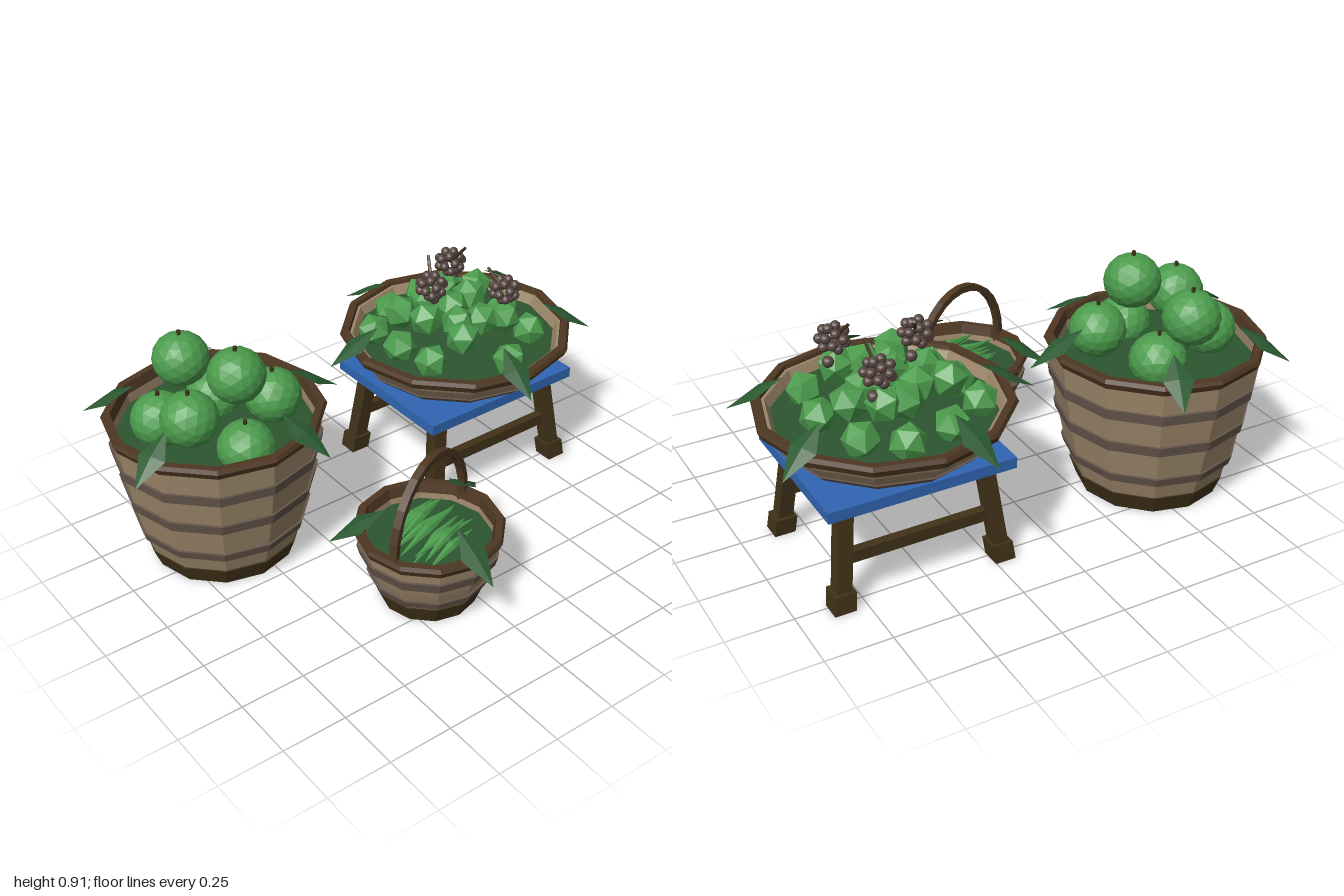
import * as THREE from 'three';

const mat = (name, color, side = THREE.FrontSide) =>
  new THREE.MeshStandardMaterial({ name, color, side, flatShading: true });

export function createModel() {
  const M = {
    wicker: mat('pale wicker', 0x9c8669),
    band: mat('grey brown band', 0x65564b),
    rim: mat('rim brown', 0x4e3722),
    wood: mat('dark wood', 0x413219),
    blue: mat('blue paint', 0x3166b2),
    fruit: mat('fresh green', 0x4c9c4d),
    leaf: mat('leaf green', 0x2b5a31, THREE.DoubleSide),
    fill: mat('deep green', 0x2c552f),
    berry: mat('berry brown', 0x55443f),
  };
  const root = new THREE.Group();
  let seed = 7;
  const rnd = () => (seed = (seed * 16807) % 2147483647) / 2147483647;

  function add(parent, name, geo, material, x = 0, y = 0, z = 0) {
    const m = new THREE.Mesh(geo, material);
    m.name = name;
    m.position.set(x, y, z);
    parent.add(m);
    return m;
  }
  function group(name, x, z) {
    const g = new THREE.Group();
    g.name = name;
    g.position.set(x, 0, z);
    root.add(g);
    return g;
  }
  const lathe = (pts) => new THREE.LatheGeometry(pts.map((p) => new THREE.Vector2(...p)), 12);

  // Thin rod between two points
  function rod(parent, name, a, b, r0, r1, material, sides = 5) {
    const A = new THREE.Vector3(...a), B = new THREE.Vector3(...b), d = B.clone().sub(A);
    const m = add(parent, name, new THREE.CylinderGeometry(r1, r0, d.length(), sides), material);
    m.position.copy(A).add(B).multiplyScalar(0.5);
    m.quaternion.setFromUnitVectors(new THREE.Vector3(0, 1, 0), d.normalize());
    return m;
  }

  // Folded kite leaf draped over a rim
  function leaf(parent, R, top, deg) {
    const g = new THREE.BufferGeometry();
    const inner = [R - 0.12, top + 0.07, 0], tip = [R + 0.085, top - 0.055, 0];
    const mid = [R - 0.02, top + 0.022, 0];
    const l = [R - 0.025, top + 0.012, -0.056], r = [R - 0.025, top + 0.012, 0.056];
    const faces = [inner, mid, l, mid, tip, l, inner, r, mid, mid, r, tip];
    g.setAttribute('position', new THREE.Float32BufferAttribute(faces.flat(), 3));
    g.computeVertexNormals();
    add(parent, 'leaf', g, M.leaf).rotation.y = -THREE.MathUtils.degToRad(deg);
  }

  // Woven vessel: wall profile, bands, rim, filling and leaves
  function basket(g, { wall, foot, bands, R, top, fillY, leaves }) {
    const radius = (y) => {
      const i = Math.max(1, wall.findIndex((p) => p[1] >= y));
      const [a, b] = [wall[i - 1], wall[i]];
      return a[0] + ((b[0] - a[0]) * (y - a[1])) / (b[1] - a[1]);
    };
    const strip = (y0, y1, t) => lathe([
      [radius(y0) - 0.01, y0], [radius(y0) + t, y0],
      [radius(y1) + t, y1], [radius(y1) - 0.01, y1]]);
    const inside = wall.filter((p) => p[1] > fillY - 0.15).reverse().map(([r, y]) => [r - 0.025, y]);
    add(g, 'wickerWall', lathe([...wall, ...inside]), M.wicker);
    add(g, 'basketBottom', lathe([[0, wall[0][1]], wall[0]]), M.band);
    if (foot) add(g, 'basketFoot', strip(0.001, foot, 0.006), M.wood);
    bands.forEach(([a, b]) => add(g, 'wickerBand', strip(a, b, 0.01), M.band));
    add(g, 'basketRim', lathe([
      [R - 0.045, top - 0.04], [R - 0.012, top - 0.04], [R, top - 0.015], [R - 0.008, top],
      [R - 0.035, top], [R - 0.045, top - 0.04]]), M.rim);
    add(g, 'greenFilling', lathe([[radius(fillY) - 0.02, fillY], [0, fillY + 0.01]]), M.fill);
    leaves.forEach((d) => leaf(g, R, top, d));
  }

  // Tall fruit basket
  const tall = group('tallFruitBasket', -0.56, -0.32);
  basket(tall, {
    wall: [[0.27, 0], [0.3, 0.08], [0.33, 0.18], [0.36, 0.32], [0.385, 0.46], [0.4, 0.59]],
    foot: 0.075, bands: [[0.145, 0.18], [0.295, 0.335], [0.44, 0.48]],
    R: 0.415, top: 0.61, fillY: 0.53, leaves: [-137, -67, 9, 67, 155],
  });
  const fruits = [
    [-0.525, 0.79, -0.205], [-0.59, 0.745, -0.49], [-0.735, 0.695, -0.19], [-0.365, 0.635, -0.225],
    [-0.49, 0.575, -0.44], [-0.76, 0.61, -0.37], [-0.57, 0.56, -0.09]];
  for (const [x, y, z] of fruits) {
    const lx = x + 0.56, lz = z + 0.32;
    const f = add(tall, 'roundFruit', new THREE.IcosahedronGeometry(0.108, 2), M.fruit, lx, y, lz);
    f.scale.y = 0.96;
    f.rotation.y = rnd() * 6;
    rod(tall, 'fruitStem', [lx, y + 0.09, lz], [lx, y + 0.118, lz], 0.008, 0.008, M.wood);
  }

  // Small handled basket
  const small = group('smallHandledBasket', -0.12, 0.4);
  basket(small, {
    wall: [[0.175, 0], [0.205, 0.08], [0.235, 0.16], [0.255, 0.23], [0.267, 0.3]],
    foot: 0.072, bands: [[0.088, 0.12], [0.195, 0.235]],
    R: 0.28, top: 0.315, fillY: 0.25, leaves: [-150, -23, 91],
  });
  // Arched handle: flat strip section carried along a half ellipse
  const outer = new THREE.Shape(), N = 14;
  const arc = (i, w, h) => [Math.cos((i / N) * Math.PI) * w, 0.31 + Math.sin((i / N) * Math.PI) * h];
  outer.moveTo(0.25, 0.25);
  for (let i = 0; i <= N; i++) outer.lineTo(...arc(i, 0.255, 0.295));
  outer.lineTo(-0.25, 0.25);
  outer.lineTo(-0.23, 0.25);
  for (let i = N; i >= 0; i--) outer.lineTo(...arc(i, 0.232, 0.268));
  outer.lineTo(0.23, 0.25);
  const handleGeo = new THREE.ExtrudeGeometry(outer, { depth: 0.03, bevelEnabled: false });
  handleGeo.translate(0, 0, -0.015);
  add(small, 'archedHandle', handleGeo, M.rim).rotation.y = 0.37;
  // Pods lying across the small basket
  for (let i = 0; i < 10; i++) {
    const pod = new THREE.Group();
    pod.name = 'greenPod';
    pod.position.set((rnd() - 0.5) * 0.05, 0.275 + (i % 3) * 0.014, -0.11 + i * 0.025);
    pod.rotation.y = 0.26 + (rnd() - 0.5) * 0.3;
    const half = 0.17 - Math.abs(i - 4.5) * 0.008;
    for (const s of [-1, 1]) rod(pod, 'podHalf', [0, 0, 0], [s * half, -0.012, 0], 0.02, 0.002, M.fruit, 6);
    small.add(pod);
  }

  // Blue stool with splayed legs
  const stool = group('stool', 0.525, -0.253);
  add(stool, 'stoolSeat', new THREE.BoxGeometry(0.71, 0.042, 0.61), M.blue, 0, 0.4, 0);
  function splayed(name, w, y0, y1, sx, sz) {
    const g = new THREE.BoxGeometry(w, y1 - y0, w).translate(0, (y0 + y1) / 2, 0);
    const p = g.attributes.position;
    for (let i = 0; i < p.count; i++) {
      const t = p.getY(i) / 0.38;
      p.setX(i, p.getX(i) + sx * (0.312 - 0.045 * t));
      p.setZ(i, p.getZ(i) + sz * (0.268 - 0.045 * t));
    }
    add(stool, name, g, M.wood);
  }
  for (const sx of [-1, 1]) for (const sz of [-1, 1]) {
    splayed('stoolLeg', 0.056, 0, 0.38, sx, sz);
    splayed('stoolFoot', 0.08, 0, 0.07, sx, sz);
  }
  for (const sz of [-1, 1])
    add(stool, 'stretcher', new THREE.BoxGeometry(0.56, 0.045, 0.035), M.wood, 0, 0.187, sz * 0.245);
  add(stool, 'seatBeam', new THREE.BoxGeometry(0.6, 0.06, 0.04), M.wood, 0, 0.35, 0);

  // Wide bowl of greens on the stool
  const bowl = group('wideBowl', 0.525, -0.253);
  basket(bowl, {
    wall: [[0.26, 0.422], [0.33, 0.45], [0.375, 0.49], [0.41, 0.535], [0.44, 0.595]],
    foot: 0, bands: [[0.46, 0.49]],
    R: 0.465, top: 0.61, fillY: 0.56, leaves: [-107, -28, 30, 98, -169],
  });
  const greens = [
    [0.24, -0.42], [0.4, -0.52], [0.58, -0.55], [0.71, -0.46], [0.53, -0.43], [0.45, -0.36], [0.25, -0.26],
    [0.37, -0.25], [0.5, -0.25], [0.62, -0.29], [0.77, -0.25], [0.28, -0.1], [0.4, -0.06], [0.53, 0.07],
    [0.54, -0.12], [0.7, -0.35], [0.63, -0.09], [0.74, -0.06], [0.45, -0.15], [0.33, -0.36], [0.6, -0.42]];
  for (const [x, z] of greens) {
    const lx = x - 0.525, lz = z + 0.253, d = Math.hypot(lx, lz);
    const g = add(bowl, 'leafyGreen', new THREE.IcosahedronGeometry(0.07, 0), M.fruit,
      lx, d < 0.24 ? 0.7 - d * 0.08 : 0.6, lz);
    g.rotation.set(rnd() * 6, rnd() * 6, rnd() * 6);
  }

  // Berry clusters with a stalk each
  const clusters = [
    [[0.395, 0.825, -0.25], [0.44, 0.91, -0.33]],
    [[0.61, 0.8, -0.4], [0.62, 0.89, -0.32]],
    [[0.64, 0.795, -0.1], [0.61, 0.87, -0.17]]];
  for (const [c, tip] of clusters) {
    const local = (p) => [p[0] - 0.525, p[1], p[2] + 0.253];
    const [x, y, z] = local(c);
    rod(bowl, 'berryStalk', [x, y, z], local(tip), 0.008, 0.006, M.wood);
    for (let i = 0; i < 18; i++) {
      const v = 1 - (2 * i + 1) / 18, a = i * 2.4, h = Math.sqrt(1 - v * v) * 0.048;
      add(bowl, 'berry', new THREE.IcosahedronGeometry(0.019, 1), M.berry,
        x + Math.cos(a) * h, y + v * 0.042, z + Math.sin(a) * h);
    }
    add(bowl, 'berry', new THREE.IcosahedronGeometry(0.022, 1), M.berry, x + 0.03, y - 0.075, z - 0.02);
  }
  return root;
}
